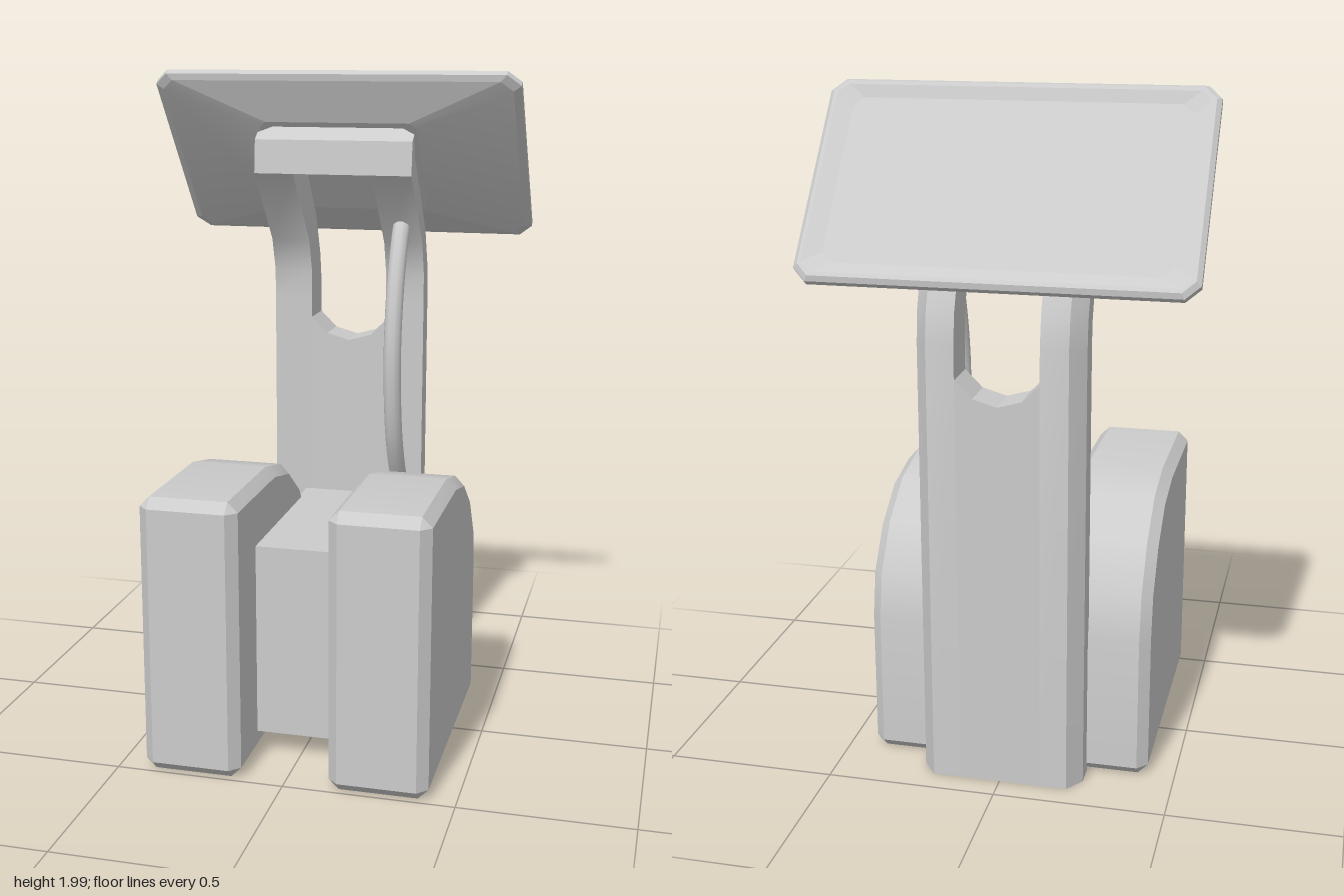
import * as THREE from 'three';
import { toCreasedNormals } from 'three/addons/utils/BufferGeometryUtils.js';
import { ConvexGeometry } from 'three/addons/geometries/ConvexGeometry.js';

const grey = new THREE.MeshStandardMaterial({ color: 0xcccccc });

function add(parent, name, geometry) {
  const mesh = new THREE.Mesh(geometry, grey);
  mesh.name = name;
  parent.add(mesh);
  return mesh;
}

// Closed skin over equal-length rings of [x, y, z] points, capped at both ends
function loft(rings, crease) {
  const n = rings[0].length, last = (rings.length - 1) * n, index = [];
  for (let r = 0; r < rings.length - 1; r++) {
    for (let i = 0; i < n; i++) {
      const a = r * n + i, b = r * n + (i + 1) % n;
      index.push(a, b, b + n, a, b + n, a + n);
    }
  }
  for (let i = 1; i < n - 1; i++) {
    index.push(0, i + 1, i, last, last + i, last + i + 1);
  }
  const geo = new THREE.BufferGeometry();
  geo.setAttribute('position', new THREE.Float32BufferAttribute(rings.flat(2), 3));
  geo.setIndex(index);
  return toCreasedNormals(geo, crease);
}

// Chamfered base block; profiles are [z, y]
function baseBlock() {
  const outer = [[0.505, 0.03], [0.505, 0.8], [0.475, 0.83], [0.1, 0.83], [-0.065, 0.795], [-0.2, 0.7],
    [-0.29, 0.57], [-0.315, 0.43], [-0.315, 0.03], [-0.285, 0], [0.475, 0]];
  const inset = [[0.475, 0.03], [0.475, 0.8], [0.1, 0.8], [-0.055, 0.767], [-0.178, 0.68],
    [-0.262, 0.56], [-0.285, 0.43], [-0.285, 0.03]];
  const points = [];
  for (const s of [-1, 1]) {
    outer.forEach(([z, y]) => points.push(new THREE.Vector3(s * 0.115, y, z)));
    inset.forEach(([z, y]) => points.push(new THREE.Vector3(s * 0.145, y, z)));
  }
  return toCreasedNormals(new ConvexGeometry(points), 0.5);
}

// Post arm: [front z, front y, back z, back y] up the bend, outer back edge chamfered
function postArm(side) {
  const path = [[-0.305, 0, -0.425, 0], [-0.305, 1.28, -0.425, 1.32], [-0.303, 1.37, -0.41, 1.41],
    [-0.27, 1.47, -0.36, 1.535], [-0.08, 1.69, -0.18, 1.777], [-0.09, 1.79, -0.14, 1.825]];
  const rings = path.map(([fz, fy, bz, by]) => {
    const ring = [[0.12, 0], [0.24, 0], [0.24, 0.55], [0.2, 1], [0.12, 1]].map(([x, k]) =>
      [side * x, fy + (by - fy) * k, fz + (bz - fz) * k]);
    return side > 0 ? ring : ring.reverse();
  });
  return loft(rings, 0.5);
}

// Extrude a 2D outline by depth
function slab(points, depth) {
  const shape = new THREE.Shape(points.map(([x, y]) => new THREE.Vector2(x, y)));
  return new THREE.ExtrudeGeometry(shape, { depth, bevelEnabled: false });
}

// Rectangle with cut corners: half width, half height, cut, depth
function panelRing([w, h, c, z]) {
  return [[w - c, -h], [w, -h + c], [w, h - c], [w - c, h],
    [-w + c, h], [-w, h - c], [-w, -h + c], [-w + c, -h]].map(([x, y]) => [x, y, z]);
}

export function createModel() {
  const model = new THREE.Group();
  model.name = 'displayStand';

  // Base
  for (const s of [-1, 1]) {
    add(model, s > 0 ? 'leftBaseBlock' : 'rightBaseBlock', baseBlock()).position.x = s * 0.275;
  }
  add(model, 'baseBridge', new THREE.BoxGeometry(0.28, 0.58, 0.62)).position.set(0, 0.36, 0);

  // Post: two arms, a web with a rounded slot bottom, and a bar across the top
  const post = new THREE.Group();
  post.name = 'post';
  model.add(post);
  add(post, 'leftArm', postArm(1));
  add(post, 'rightArm', postArm(-1));
  const web = slab([[-0.12, 0], [0.12, 0], [0.12, 1.22], [0.07, 1.17], [0, 1.15], [-0.07, 1.17], [-0.12, 1.22]], 0.12);
  add(post, 'web', web).position.z = -0.425;
  const bar = slab([[0.08, 1.69], [0.24, 1.7], [0.14, 1.825], [0.09, 1.79]], 0.24);
  bar.rotateY(Math.PI / 2).scale(1, 1, 1).translate(-0.12, 0, 0);
  add(post, 'topBar', bar);

  // Cable bowing out in front of the post
  const path = new THREE.CatmullRomCurve3([[-0.25, 1.55], [-0.215, 1.51], [-0.145, 1.36], [-0.107, 1.15],
    [-0.14, 0.9], [-0.225, 0.73], [-0.33, 0.6]].map(([z, y]) => new THREE.Vector3(0.183, y, z)));
  add(model, 'cable', new THREE.TubeGeometry(path, 32, 0.027, 10));

  // Tilted screen: tapered back, thin rim, recessed face
  const screen = add(model, 'screen', loft([
    [0.24, 0.177, 0.02, -0.077], [0.53, 0.305, 0.035, -0.04], [0.553, 0.322, 0.04, -0.03],
    [0.553, 0.322, 0.04, -0.012], [0.54, 0.31, 0.035, 0], [0.53, 0.298, 0.03, 0],
    [0.48, 0.262, 0.03, -0.012],
  ].map(panelRing), 0.1));
  screen.position.set(0, 1.75, -0.303);
  screen.lookAt(0, 1.75 + 0.63, -0.303 - 0.777);

  return model;
}
